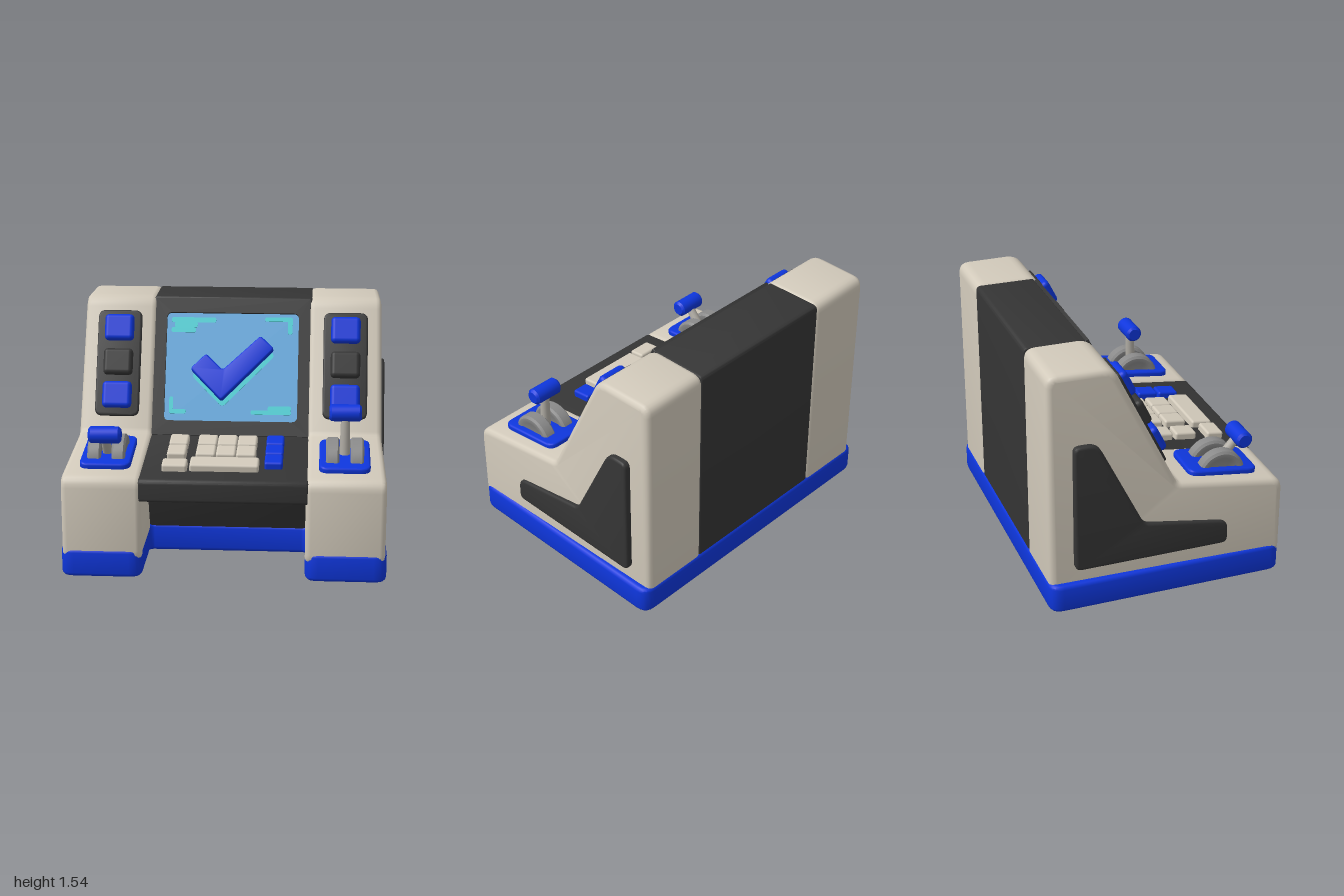
import * as THREE from 'three';
import { toCreasedNormals } from 'three/addons/utils/BufferGeometryUtils.js';
import { RoundedBoxGeometry } from 'three/addons/geometries/RoundedBoxGeometry.js';

const paint = (name, color) => Object.assign(new THREE.MeshStandardMaterial({ color }), { name });

// Closed outline with every corner rounded; a point is [x, y, own radius]
function outline(points, radius, Type = THREE.Shape) {
  const shape = new Type();
  const n = points.length;
  const toward = (a, b, d) => {
    const len = Math.hypot(b[0] - a[0], b[1] - a[1]);
    const t = Math.min(d / len, 0.49);
    return [a[0] + (b[0] - a[0]) * t, a[1] + (b[1] - a[1]) * t];
  };
  points.forEach((p, i) => {
    const r = p[2] ?? radius;
    const a = toward(p, points[(i + n - 1) % n], r);
    const b = toward(p, points[(i + 1) % n], r);
    if (i === 0) shape.moveTo(...a); else shape.lineTo(...a);
    shape.quadraticCurveTo(p[0], p[1], ...b);
  });
  shape.closePath();
  return shape;
}

const rect = (x0, y0, x1, y1) => [[x0, y0], [x1, y0], [x1, y1], [x0, y1]];

// Extrusion from z = 0 to z = depth, bevel kept inside the outline
function slab(shape, depth, bevel = 0) {
  const geo = new THREE.ExtrudeGeometry(shape, {
    depth: depth - 2 * bevel, bevelEnabled: bevel > 0, bevelSize: bevel,
    bevelThickness: bevel, bevelOffset: -bevel, bevelSegments: 3, curveSegments: 5,
  });
  return geo.translate(0, 0, bevel);
}

// Side profile in (z, y), extruded across x from x0 to x1
function profile(points, radius, x0, x1, bevel) {
  return slab(outline(points, radius), x1 - x0, bevel).rotateY(-Math.PI / 2).translate(x1, 0, 0);
}

export function createModel() {
  const cream = paint('cream', 0xd2cabb);
  const dark = paint('charcoal', 0x353535);
  const blue = paint('blue', 0x0e36dc);
  const glass = paint('screenBlue', 0x66abe0);
  const teal = paint('teal', 0x4fd2d8);
  const grey = paint('grey', 0x8a8a8a);
  const rodGrey = paint('lightGrey', 0xb0aca4);

  const model = new THREE.Group();
  model.name = 'controlConsole';
  const add = (parent, name, geo, mat, x = 0, y = 0, z = 0) => {
    const mesh = new THREE.Mesh(geo, mat);
    mesh.name = name;
    mesh.position.set(x, y, z);
    parent.add(mesh);
    return mesh;
  };
  const group = (name, y, z, tilt) => {
    const g = new THREE.Group();
    g.name = name;
    g.position.set(0, y, z);
    g.rotation.x = tilt;
    model.add(g);
    return g;
  };
  const smooth = (geo) => toCreasedNormals(geo, 0.6);

  // U-shaped base with a knee recess at the front
  const base = slab(outline([
    [-1, 0.75], [-1, -0.75], [-0.5, -0.75], [-0.5, -0.26, 0.03],
    [0.5, -0.26, 0.03], [0.5, -0.75], [1, -0.75], [1, 0.75],
  ], 0.08), 0.18, 0.025).rotateX(-Math.PI / 2);
  add(model, 'base', smooth(base), blue);

  // Centre body: keyboard shelf, knee wall, screen support and back panel
  add(model, 'centreBody', smooth(profile([
    [0.74, 0.63, 0.03], [0.74, 0.49, 0.02], [0.36, 0.45, 0.1], [0.25, 0.15, 0.02], [-0.74, 0.15, 0.02],
    [-0.74, 1.54, 0.03], [-0.363, 1.54, 0.005], [0.035, 0.716, 0.005],
  ], 0.03, -0.515, 0.515, 0.01)), dark);

  // Side towers, slightly wider toward the front, with inlaid side panels
  for (const s of [-1, 1]) {
    const side = s > 0 ? 'left' : 'right';
    const tower = profile([
      [0.745, 0.64], [0.745, 0.1], [-0.742, 0.1], [-0.742, 1.545],
      [-0.34, 1.545], [0.06, 0.73, 0.03],
    ], 0.07, s > 0 ? 0.5 : -0.955, s > 0 ? 0.955 : -0.5, 0.035);
    const p = tower.attributes.position;
    for (let i = 0; i < p.count; i++) {
      if (Math.abs(p.getX(i)) > 0.7) p.setX(i, p.getX(i) + s * 0.035 * (p.getZ(i) + 0.75) / 1.5);
    }
    add(model, side + 'Tower', smooth(tower), cream);
    add(model, side + 'SidePanel', smooth(profile([
      [0.385, 0.27], [-0.595, 0.27], [-0.595, 1.095], [-0.45, 1.095, 0.06], [-0.16, 0.51], [0.385, 0.425, 0.06],
    ], 0.04, s > 0 ? 0.92 : -1, s > 0 ? 1 : -0.92, 0.015)), dark);
  }

  // Sloped face: local y runs up the slope, local z points out of it
  const tilt = Math.atan2(0.4, 0.815);
  const face = group('slopedFace', 0.73, 0.06, -tilt);
  const up = (y) => (y - 0.73) / Math.cos(tilt);

  const frame = outline(rect(-0.505, -0.01, 0.505, 0.9), 0.008);
  frame.holes.push(outline(rect(-0.43, up(0.805), 0.43, up(1.45)), 0.035, THREE.Path));
  add(face, 'screenFrame', smooth(slab(frame, 0.032)), dark, 0, 0, -0.032);
  add(face, 'screen', new THREE.BoxGeometry(0.9, 0.76, 0.009), glass, 0, 0.44, -0.0255);

  // Screen glints
  const glints = [
    [-0.4, 1.385, -0.11, 1.415], [-0.38, 1.355, -0.23, 1.387], [-0.4, 1.325, -0.24, 1.355],
    [0.21, 1.395, 0.39, 1.42], [0.36, 1.32, 0.39, 1.42],
    [-0.4, 0.85, -0.375, 0.94], [-0.4, 0.84, -0.29, 0.865],
    [0.13, 0.84, 0.39, 0.865], [0.24, 0.862, 0.39, 0.89],
  ];
  for (const [x0, y0, x1, y1] of glints) {
    add(face, 'glint', slab(outline(rect(x0, up(y0), x1, up(y1)), 0.012), 0.006), teal, 0, 0.01, -0.022);
  }

  // Raised check mark with a glow under it
  const check = [[-0.265, 1.115], [-0.165, 1.205], [-0.055, 1.11], [0.185, 1.315], [0.275, 1.24], [-0.06, 0.93]]
    .map(([x, y]) => [x, up(y) - 0.01]);
  const glow = slab(outline(check, 0.03), 0.006);
  add(face, 'checkGlow', glow, teal, 0.005, -0.035, -0.022);
  add(face, 'checkMark', smooth(slab(outline(check, 0.02), 0.07, 0.01)), blue, 0, 0, -0.022);

  // Button strips on both towers
  for (const x of [-0.735, 0.735]) {
    const strip = slab(outline(rect(-0.143, up(0.825), 0.143, up(1.455)), 0.05), 0.04, 0.01);
    add(face, 'buttonPanel', smooth(strip), dark, x, 0, -0.018);
    [0.955, 1.15, 1.355].forEach((y, i) => {
      add(face, 'button', new RoundedBoxGeometry(0.19, 0.172, 0.07, 3, 0.028),
        i === 1 ? dark : blue, x, up(y) - 0.01, 0.035);
    });
  }

  // Keyboard on the shelf: [x0, z0, x1, z1]
  const deck = group('keyboard', 0.672, 0.4, 0.122);
  const key = (name, mat, x0, z0, x1, z1) => add(deck, name,
    new RoundedBoxGeometry(x1 - x0, 0.06, z1 - z0, 2, 0.015), mat, (x0 + x1) / 2, 0.014, (z0 + z1) / 2 - 0.4);
  for (const [z0, z1] of [[0.125, 0.27], [0.287, 0.43]]) {
    key('sideKey', cream, -0.37, z0, -0.25, z1);
    for (let i = 0; i < 3; i++) key('key', cream, -0.19 + i * 0.126, z0, -0.067 + i * 0.126, z1);
  }
  key('cornerKey', cream, -0.385, 0.5, -0.23, 0.61);
  key('spaceBar', cream, -0.215, 0.465, 0.21, 0.6);
  for (let i = 0; i < 3; i++) key('blueKey', blue, 0.243, 0.12 + i * 0.147, 0.355, 0.257 + i * 0.147);

  // Levers: the left one stands upright, the right one is pulled forward
  const disc = new THREE.LatheGeometry([
    [0, -0.036], [0.1, -0.036], [0.11, -0.042], [0.135, -0.042], [0.15, -0.03],
    [0.15, 0.03], [0.135, 0.042], [0.11, 0.042], [0.1, 0.036], [0, 0.036],
  ].map(([x, y]) => new THREE.Vector2(x, y)), 32).rotateZ(Math.PI / 2);
  const discGeo = toCreasedNormals(disc, 0.6);
  const grip = new THREE.LatheGeometry([
    [0, -0.1], [0.038, -0.1], [0.053, -0.085], [0.053, 0.085], [0.038, 0.1], [0, 0.1],
  ].map(([x, y]) => new THREE.Vector2(x, y)), 24).rotateZ(Math.PI / 2);
  const gripGeo = toCreasedNormals(grip, 0.6);
  const plateGroup = group('leverPlates', 0.69, 0.395, 0.122);
  for (const [x, name, angle] of [[0.735, 'leftLever', -0.03], [-0.735, 'rightLever', 0.68]]) {
    const plate = slab(outline(rect(-0.157, -0.225, 0.157, 0.225), 0.06), 0.05, 0.012).rotateX(-Math.PI / 2);
    add(plateGroup, name + 'Plate', smooth(plate), blue, x, -0.022, 0);
    for (const d of [-0.075, 0.075]) add(model, name + 'Disc', discGeo, grey, x + d, 0.667, 0.4);
    const arm = group(name, 0.667, 0.4, angle);
    arm.position.x = x;
    const length = angle > 0 ? 0.245 : 0.31;
    add(arm, 'rod', new THREE.CylinderGeometry(0.027, 0.034, length, 16), rodGrey, 0, length / 2, 0);
    add(arm, 'grip', gripGeo, blue, 0, length, 0);
  }

  return model;
}
